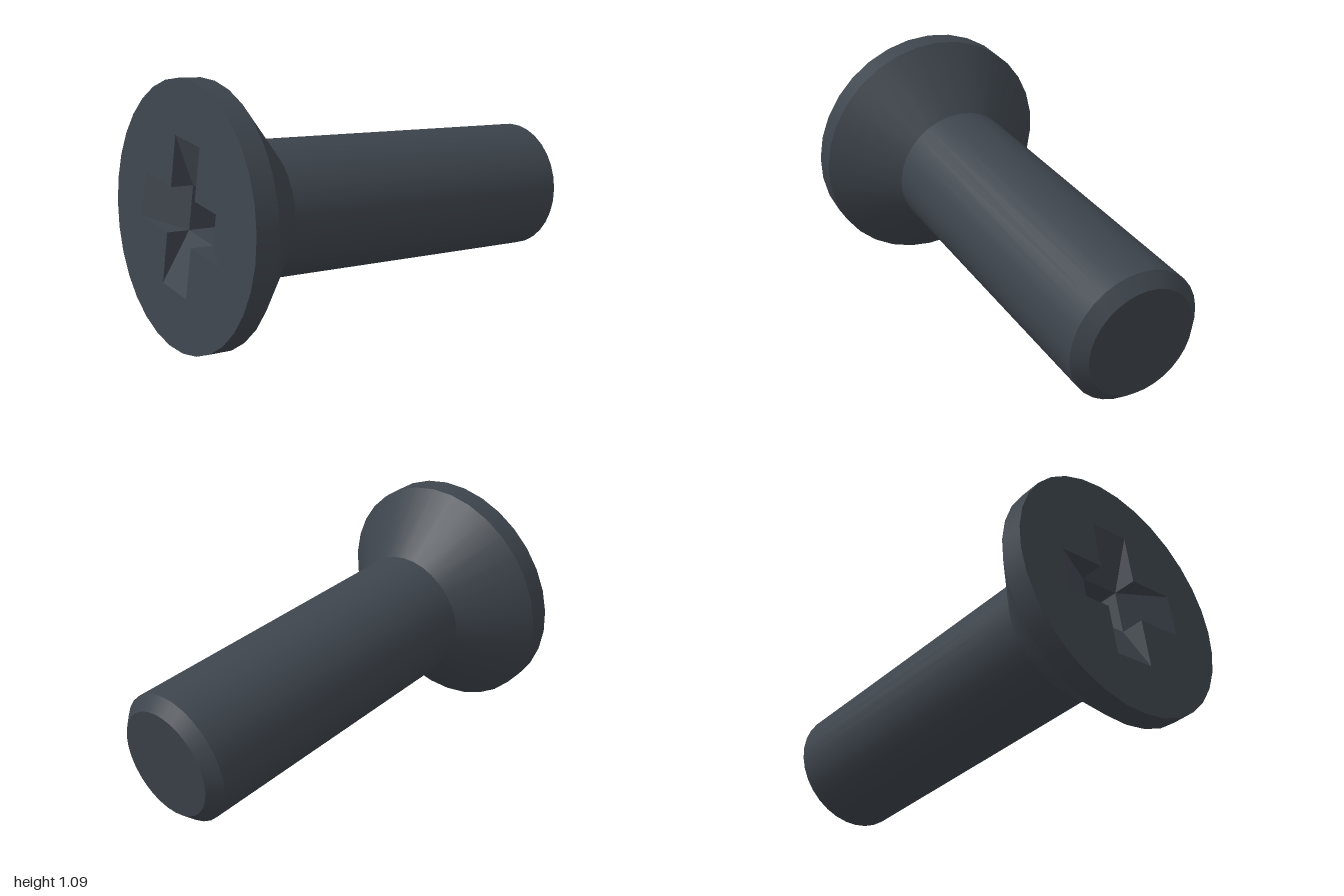
import * as THREE from 'three';

const SIDES = 32;
const HEAD_R = 0.545, SHAFT_R = 0.288, TIP_R = 0.236;
const RIM_Z = -0.098, NECK_Z = -0.346, CHAMFER_Z = -1.811, TIP_Z = -1.863;
// Cross recess: arm reach, half width, arm depth, pit depth
const L = 0.309, W = 0.095, A = 0.1, D = 0.22;

export function createModel() {
  const steel = new THREE.MeshStandardMaterial({ color: 0x3d444c });
  steel.name = 'dark steel';

  const screw = new THREE.Group();
  screw.name = 'screw';
  const add = (name, geometry, parent = screw) => {
    const mesh = new THREE.Mesh(geometry, steel);
    mesh.name = name;
    parent.add(mesh);
    return mesh;
  };

  // Bands of the turned body along local z (head face at z = 0, tip at -z)
  const band = (name, rNear, zNear, rFar, zFar) => {
    const g = new THREE.CylinderGeometry(rNear, rFar, zNear - zFar, SIDES, 1, true);
    g.rotateX(Math.PI / 2).translate(0, 0, (zNear + zFar) / 2);
    add(name, g);
  };
  band('headRim', HEAD_R, 0, HEAD_R, RIM_Z);
  band('headCone', HEAD_R, RIM_Z, SHAFT_R, NECK_Z);
  band('shaft', SHAFT_R, NECK_Z, SHAFT_R, CHAMFER_Z);
  band('tipChamfer', SHAFT_R, CHAMFER_Z, TIP_R, TIP_Z);
  add('tipCap', new THREE.CircleGeometry(TIP_R, SIDES).rotateY(Math.PI).translate(0, 0, TIP_Z));

  // Head face with a cross-shaped opening
  const ring = [];
  for (let i = 0; i < SIDES; i++) {
    const a = (i / SIDES) * Math.PI * 2;
    ring.push(new THREE.Vector2(HEAD_R * Math.sin(a), HEAD_R * Math.cos(a)));
  }
  const face = new THREE.Shape(ring);
  const cross = [];
  for (let i = 0; i < 4; i++) {
    for (const [x, y] of [[L, -W], [L, W], [W, W]]) {
      cross.push(new THREE.Vector2(x, y).rotateAround(new THREE.Vector2(), i * Math.PI / 2));
    }
  }
  face.holes.push(new THREE.Path(cross));
  add('headFace', new THREE.ShapeGeometry(face));

  // One recess arm: sloping floor, two side walls, and the pit wall below it
  const floor = [[L, -W, 0], [L, W, 0], [W, W, -A], [W, -W, -A]];
  const pitWall = [[W, -W, -A], [W, W, -A], [W, W, -D], [W, -W, -D]];
  const quad = ([a, b, c, d]) => [a, b, c, a, c, d];
  const points = [
    ...quad(floor),
    [L, W, 0], [W, W, 0], [W, W, -A],
    [W, -W, 0], [L, -W, 0], [W, -W, -A],
    ...quad(pitWall),
  ];
  const arm = new THREE.BufferGeometry();
  arm.setAttribute('position', new THREE.Float32BufferAttribute(points.flat(), 3));
  arm.computeVertexNormals();
  const recess = new THREE.Group();
  recess.name = 'crossRecess';
  screw.add(recess);
  for (let i = 0; i < 4; i++) add('recessArm', arm, recess).rotation.z = i * Math.PI / 2;
  add('recessBottom', new THREE.PlaneGeometry(2 * W, 2 * W).translate(0, 0, -D), recess);

  // Tilt the screw so its head faces the right and its tip dips forward
  const out = new THREE.Vector3(-0.9686, 0.1453, -0.2015).normalize();
  const side = new THREE.Vector3(0, 1, 0).cross(out).normalize();
  const up = out.clone().cross(side);
  screw.quaternion.setFromRotationMatrix(new THREE.Matrix4().makeBasis(side, up, out));
  screw.position.set(-0.865, 0.553, -0.054);

  const model = new THREE.Group();
  model.name = 'countersunkScrew';
  model.add(screw);
  return model;
}
